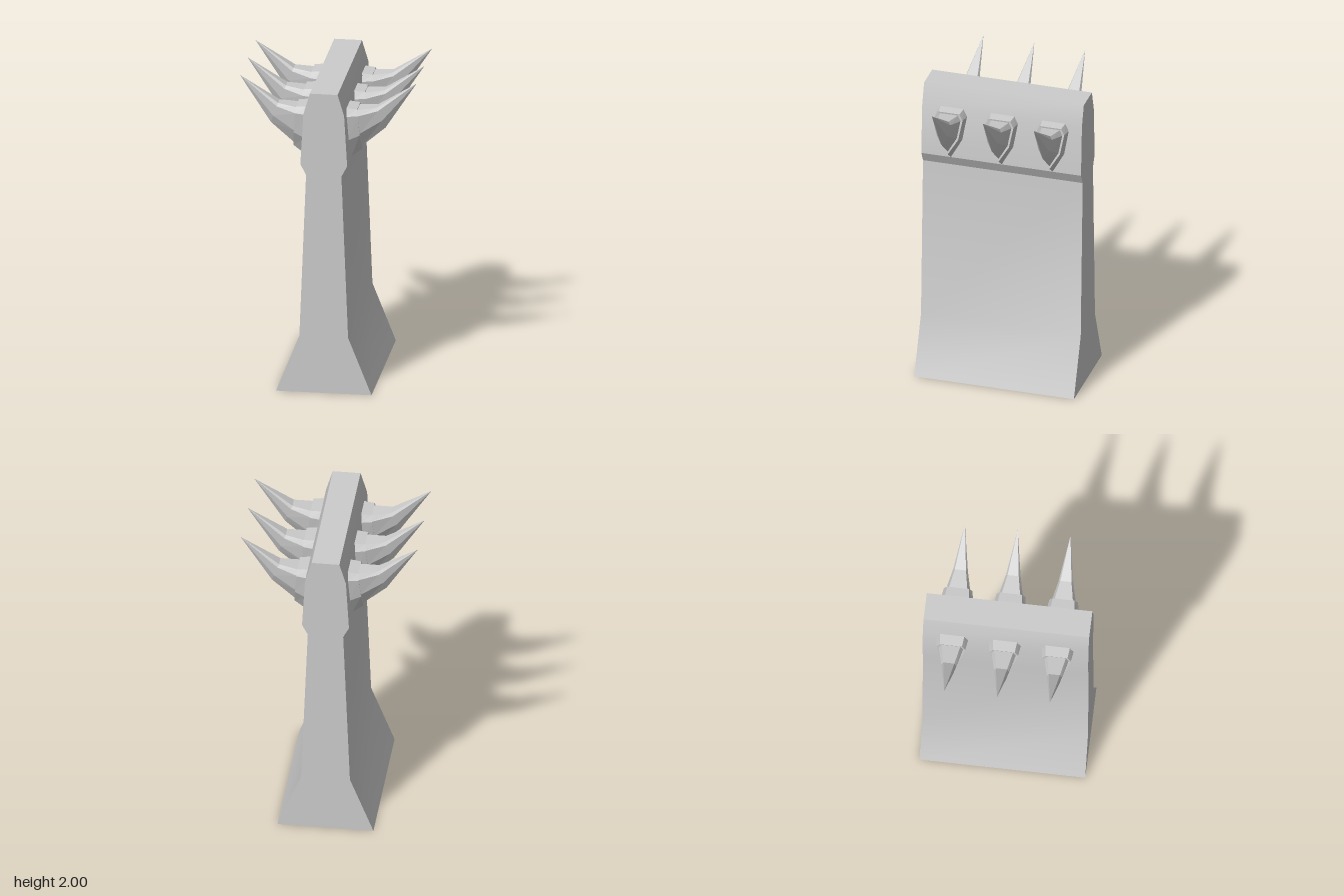
import * as THREE from 'three';
import { toCreasedNormals } from 'three/addons/utils/BufferGeometryUtils.js';

// Shield-shaped cross-section: [half-width factor, fraction of the way down]
const SHIELD = [[-0.76, 0], [-1, 0.14], [-0.72, 0.62], [0, 1], [0.72, 0.62], [1, 0.14], [0.76, 0]];

// A shield section leaning from (xTop, yTop) to (xBottom, yBottom)
function ring(xTop, yTop, xBottom, yBottom, halfWidth) {
  return SHIELD.map(([w, t]) => new THREE.Vector3(
    xTop + (xBottom - xTop) * t, yTop + (yBottom - yTop) * t, w * halfWidth));
}

// Faceted skin through successive sections running along +x
function loft(rings) {
  const points = [];
  for (let i = 0; i < rings.length - 1; i++) {
    const near = rings[i], far = rings[i + 1], n = near.length;
    for (let j = 0; j < n; j++) {
      const k = (j + 1) % n;
      if (!far[j].equals(far[k])) points.push(near[j], far[j], far[k]);
      points.push(near[j], far[k], near[k]);
    }
  }
  const geometry = new THREE.BufferGeometry().setFromPoints(points);
  geometry.computeVertexNormals();
  return geometry;
}

// Flared wall section extruded along z, left open underneath
function wallGeometry(depth) {
  const half = [[0.3, 0], [0.153, 0.37], [0.111, 1.43], [0.147, 1.5], [0.128, 1.83], [0.087, 1.967]];
  const outline = [...half, ...half.map(([x, y]) => [-x, y]).reverse()];
  const shape = new THREE.Shape(outline.map(([x, y]) => new THREE.Vector2(x, y)));
  const solid = new THREE.ExtrudeGeometry(shape, { depth, bevelEnabled: false }).toNonIndexed();
  solid.translate(0, 0, -depth / 2);
  const p = solid.attributes.position, points = [];
  for (let i = 0; i < p.count; i += 3) {
    const tri = [0, 1, 2].map(k => new THREE.Vector3().fromBufferAttribute(p, i + k));
    if (tri.some(v => v.y > 1e-6)) points.push(...tri);
  }
  const open = new THREE.BufferGeometry().setFromPoints(points);
  return toCreasedNormals(open, THREE.MathUtils.degToRad(25));
}

export function createModel() {
  const model = new THREE.Group();
  model.name = 'spikedWall';
  const stone = new THREE.MeshStandardMaterial({ color: 0xcccccc, side: THREE.DoubleSide });
  stone.name = 'grey stone';

  const wall = new THREE.Mesh(wallGeometry(1.036), stone);
  wall.name = 'wall';
  model.add(wall);

  // Collar seats against the wall; the horn grows from it and bends upward
  const hornBase = ring(0.19, 1.825, 0.215, 1.575, 0.076);
  const collarGeometry = loft([
    ring(0.122, 1.84, 0.145, 1.5, 0.1),
    ring(0.192, 1.835, 0.217, 1.555, 0.09),
    hornBase,
  ]);
  const hornGeometry = loft([
    hornBase,
    ring(0.31, 1.84, 0.36, 1.7, 0.046),
    ring(0.555, 2, 0.555, 2, 0),
  ]);

  // Three spikes on each flank
  for (const side of [1, -1]) {
    for (const row of [-1, 0, 1]) {
      const spike = new THREE.Group();
      spike.name = side > 0 ? 'leftSpike' : 'rightSpike';
      const collar = new THREE.Mesh(collarGeometry, stone);
      collar.name = 'collar';
      const horn = new THREE.Mesh(hornGeometry, stone);
      horn.name = 'horn';
      spike.add(collar, horn);
      spike.position.z = row * 0.33 - 0.004;
      spike.rotation.y = side > 0 ? 0 : Math.PI;
      model.add(spike);
    }
  }
  return model;
}
